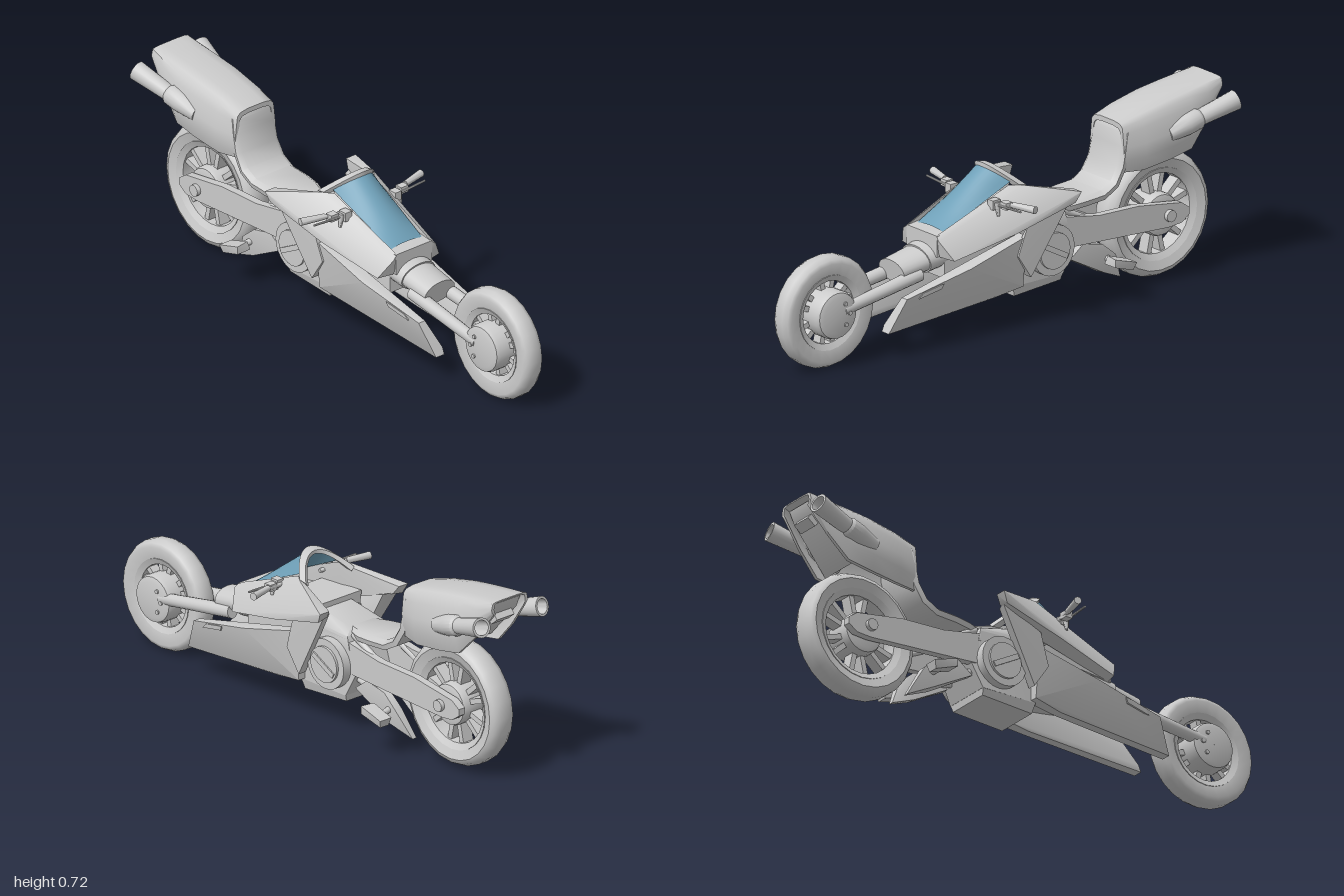
import * as THREE from 'three';
import { toCreasedNormals } from 'three/addons/utils/BufferGeometryUtils.js';
import { ConvexGeometry } from 'three/addons/geometries/ConvexGeometry.js';

const V = (x, y, z) => new THREE.Vector3(x, y, z);
const grey = new THREE.MeshStandardMaterial({ color: 0xcccccc });
const glass = new THREE.MeshStandardMaterial({ color: 0x6fa0b8, side: THREE.DoubleSide });

// Closed solid: faces turned outward, sharp edges kept
function solid(geo) {
  const src = geo.index ? geo.toNonIndexed() : geo;
  const p = Array.from(src.attributes.position.array);
  let vol = 0;
  for (let i = 0; i < p.length; i += 9) {
    const a = V(p[i], p[i + 1], p[i + 2]), b = V(p[i + 3], p[i + 4], p[i + 5]);
    vol += a.dot(b.cross(V(p[i + 6], p[i + 7], p[i + 8])));
  }
  if (vol < 0) for (let i = 0; i < p.length; i += 9)
    for (let k = 3; k < 6; k++) [p[i + k], p[i + k + 3]] = [p[i + k + 3], p[i + k]];
  const out = new THREE.BufferGeometry();
  out.setAttribute('position', new THREE.Float32BufferAttribute(p, 3));
  return toCreasedNormals(out, 0.7);
}

// Skin over equal-length loops of points; the caps join opposite halves of the loop
function loft(loops) {
  const n = loops[0].length, pos = loops.flat().flatMap(v => [v.x, v.y, v.z]), idx = [];
  for (let i = 0; i < loops.length - 1; i++) for (let j = 0; j < n; j++) {
    const a = i * n + j, b = i * n + (j + 1) % n;
    idx.push(a, b, a + n, b, b + n, a + n);
  }
  const e = (loops.length - 1) * n;
  for (let j = 0; j < n / 2 - 1; j++) {
    const k = n - 1 - j;
    idx.push(j, k, j + 1, j + 1, k, k - 1, e + j, e + j + 1, e + k, e + j + 1, e + k - 1, e + k);
  }
  const g = new THREE.BufferGeometry();
  g.setAttribute('position', new THREE.Float32BufferAttribute(pos, 3));
  return g.setIndex(idx);
}

const hull = pts => new ConvexGeometry(pts.map(p => V(...p)));
// Points repeated on both sides of the centre line
const hullBoth = pts => hull([...pts, ...pts.map(([x, y, z]) => [-x, y, z])]);
const box = (w, h, d, x, y, z) => new THREE.BoxGeometry(w, h, d).translate(x, y, z);
const disc = (r, w, x, y, z, n = 24) => new THREE.CylinderGeometry(r, r, w, n).rotateZ(Math.PI / 2).translate(x, y, z);
const ring = (pts, n = 24) => new THREE.LatheGeometry([...pts, pts[0]].map(p => new THREE.Vector2(...p)), n).rotateZ(Math.PI / 2);

// Side outline of [z, y] points given thickness from x0 to x1
const plate = (pts, x0, x1) => new THREE.ExtrudeGeometry(new THREE.Shape(pts.map(p => new THREE.Vector2(...p))),
  { depth: x1 - x0, bevelEnabled: false }).rotateY(-Math.PI / 2).translate(x1, 0, 0);

// Moves a geometry standing on the y axis so it points from a to b
function aim(geo, a, b) {
  const d = V(...b).sub(V(...a)).normalize();
  return geo.applyQuaternion(new THREE.Quaternion().setFromUnitVectors(V(0, 1, 0), d)).translate(...a);
}
// Tapered round bar from a to b, optionally flattened
function rod(a, b, r0, r1 = r0, n = 14, flat = 1) {
  const len = V(...a).distanceTo(V(...b));
  return aim(new THREE.CylinderGeometry(r1, r0, len, n).translate(0, len / 2, 0).scale(1, 1, flat), a, b);
}

export function createModel() {
  const model = new THREE.Group();
  const add = (name, geo, parent = model) => {
    const m = new THREE.Mesh(solid(geo), grey);
    m.name = name;
    parent.add(m);
  };
  const pair = (name, geo) => {
    add(name + 'Left', geo);
    add(name + 'Right', geo.clone().scale(-1, 1, 1));
  };

  // Wheels: tyre, rim, hub and twin spokes
  function wheel(name, r, w, inner, hubR, hubW, y, z) {
    const g = new THREE.Group();
    g.name = name;
    g.position.set(0, y, z);
    add('tyre', ring([[inner, -w * 0.75], [r * 0.88, -w], [r * 0.95, -w * 0.85], [r, -w * 0.4],
      [r, w * 0.4], [r * 0.95, w * 0.85], [r * 0.88, w], [inner, w * 0.75]]), g);
    add('rim', ring([[inner - 0.018, -w * 0.6], [inner + 0.005, -w * 0.85], [inner + 0.005, w * 0.85], [inner - 0.018, w * 0.6]]), g);
    add('hub', ring([[0.001, -hubW], [hubR * 0.75, -hubW], [hubR * 0.94, -hubW * 0.93], [hubR, -hubW * 0.75],
      [hubR, hubW * 0.75], [hubR * 0.94, hubW * 0.93], [hubR * 0.75, hubW], [0.001, hubW]]), g);
    const len = inner - hubR * 0.8;
    for (let i = 0; i < 12; i++) {
      const a = (Math.floor(i / 2) + (i % 2 ? 0.2 : -0.2)) * Math.PI / 3;
      add('spoke', box(w * 0.9, len, 0.02, 0, hubR * 0.8 + len / 2, 0).rotateX(a), g);
    }
    model.add(g);
  }
  wheel('frontWheel', 0.208, 0.043, 0.135, 0.09, 0.084, 0.209, 0.793);
  wheel('rearWheel', 0.236, 0.053, 0.168, 0.08, 0.06, 0.25, -0.72);
  for (let i = 0; i < 3; i++) {
    const a = 2.2 + i * 0.9;
    pair('hubBolt', disc(0.008, 0.012, 0.084, 0.209 + 0.05 * Math.sin(a), 0.793 + 0.05 * Math.cos(a), 8));
  }

  // Front fork and round neck
  pair('frontFork', rod([0.066, 0.22, 0.76], [0.058, 0.275, 0.4], 0.022, 0.026));
  add('neck', rod([0, 0.29, 0.48], [0, 0.33, 0.25], 0.07, 0.08, 20, 0.62));
  add('neckCollar', rod([0, 0.31, 0.365], [0, 0.33, 0.25], 0.08, 0.084, 20, 0.66));
  add('frame', hullBoth([[0.078, 0.36, 0.3], [0.078, 0.24, 0.3], [0.1, 0.41, -0.1], [0.1, 0.19, -0.1]]));

  // Upper fairing, nose and dashboard
  pair('upperFairing', hull([[0.08, 0.41, 0.34], [0.1, 0.395, 0.345], [0.08, 0.33, 0.33], [0.146, 0.325, 0.31],
    [0.095, 0.535, 0.02], [0.125, 0.535, -0.02], [0.17, 0.49, -0.22], [0.215, 0.49, -0.22], [0.205, 0.45, -0.2],
    [0.187, 0.385, 0.05], [0.16, 0.46, -0.2], [0.11, 0.4, 0]]));
  add('nose', hullBoth([[0.085, 0.41, 0.34], [0.085, 0.33, 0.34], [0.08, 0.415, 0.29], [0.095, 0.43, 0.1], [0.1, 0.36, 0]]));
  add('dashboard', hullBoth([[0.1, 0.45, 0.1], [0.1, 0.4, 0.1], [0.12, 0.45, -0.08], [0.11, 0.38, -0.08]]));
  pair('fairingStay', hull([[0.18, 0.46, -0.2], [0.13, 0.46, -0.18], [0.16, 0.33, -0.075], [0.12, 0.33, -0.075],
    [0.15, 0.19, -0.04], [0.115, 0.19, -0.04], [0.152, 0.28, 0.02], [0.12, 0.28, 0.02], [0.16, 0.4, -0.02]]));

  // Lower side skirts
  pair('skirt', hull([[0.105, 0.1, 0.58], [0.066, 0.1, 0.58], [0.066, 0.125, 0.57], [0.135, 0.225, 0.52], [0.105, 0.225, 0.52],
    [0.156, 0.285, 0.24], [0.15, 0.35, -0.02], [0.105, 0.35, -0.02], [0.13, 0.155, -0.02], [0.08, 0.155, -0.02],
    [0.115, 0.135, 0.1], [0.08, 0.135, 0.1]]));
  pair('skirtVent', hull([[0.142, 0.235, 0.45], [0.139, 0.215, 0.47], [0.151, 0.255, 0.36], [0.147, 0.235, 0.37],
    [0.12, 0.235, 0.45], [0.12, 0.23, 0.37]]));

  // Windscreen and its hoop
  const screenPoint = (u, t) => V(u * (0.074 + 0.02 * t), 0.42 + 0.178 * t - (0.007 + 0.043 * t) * u * u,
    0.3 - 0.24 * t - 0.055 * t * u * u);
  const pane = new THREE.PlaneGeometry(2, 1, 14, 6), pp = pane.attributes.position;
  for (let i = 0; i < pp.count; i++) pp.setXYZ(i, ...screenPoint(pp.getX(i), pp.getY(i) + 0.5).toArray());
  pane.computeVertexNormals();
  const screen = new THREE.Mesh(pane, glass);
  screen.name = 'windscreen';
  model.add(screen);
  const hoopLoops = [];
  for (let i = 0; i <= 16; i++) {
    const p = screenPoint(-1.2 + 0.15 * i, 1);
    hoopLoops.push([[0.008, 0.01, 1.05], [-0.025, 0.004, 1.05], [-0.025, -0.01, 0.93], [0.008, -0.006, 0.93]]
      .map(([dz, dy, s]) => V(p.x * s, p.y + dy, p.z + dz)));
  }
  add('windscreenHoop', loft(hoopLoops));

  // Handlebars
  pair('handlebar', rod([0.075, 0.485, 0.09], [0.2, 0.497, 0.075], 0.008));
  pair('grip', rod([0.19, 0.497, 0.076], [0.285, 0.498, 0.052], 0.011, 0.014));
  pair('barClamp', box(0.03, 0.035, 0.035, 0.118, 0.49, 0.105));
  pair('switchBox', box(0.034, 0.026, 0.03, 0.165, 0.493, 0.088));
  pair('lever', rod([0.14, 0.49, 0.105], [0.262, 0.495, 0.1], 0.005, 0.004, 8));
  pair('reservoir', rod([0.143, 0.45, 0.105], [0.135, 0.5, 0.105], 0.005, 0.012, 10));

  // Engine and tank
  add('engineBlock', hullBoth([[0.1, 0.38, 0], [0.1, 0.15, 0], [0.1, 0.37, -0.24], [0.1, 0.15, -0.23], [0.09, 0.25, -0.28]]));
  add('sump', hullBoth([[0.1, 0.15, 0], [0.09, 0.11, -0.01], [0.1, 0.155, -0.23], [0.09, 0.125, -0.225]]));
  pair('engineCover', disc(0.095, 0.035, 0.115, 0.26, -0.16));
  pair('engineCap', disc(0.068, 0.02, 0.132, 0.26, -0.16));
  pair('engineSlot', box(0.012, 0.02, 0.12, 0, 0, 0).rotateX(-0.5).translate(0.141, 0.26, -0.16));
  add('tank', hullBoth([[0.1, 0.38, -0.24], [0.1, 0.39, -0.05], [0.065, 0.4, -0.22], [0.07, 0.43, -0.08], [0.1, 0.33, -0.25], [0.1, 0.33, 0]]));
  pair('seatStay', rod([0.07, 0.38, -0.24], [0.075, 0.27, -0.47], 0.012));
  pair('rearStay', rod([0.06, 0.22, -0.24], [0.06, 0.17, -0.42], 0.014));

  // Swing arm with axle
  pair('swingArm', plate([[-0.23, 0.36], [-0.25, 0.24], [-0.72, 0.215], [-0.78, 0.22], [-0.815, 0.245],
    [-0.815, 0.27], [-0.78, 0.295], [-0.58, 0.325], [-0.4, 0.33]], 0.068, 0.098));
  pair('axleNut', disc(0.022, 0.02, 0.104, 0.26, -0.72, 12));
  add('axle', disc(0.018, 0.18, 0, 0.26, -0.72, 12));

  // Foot brackets leaning inward at the bottom, and pegs
  pair('footBracket', hull([[0.09, 0.19, -0.27], [0.06, 0.19, -0.27], [0.09, 0.235, -0.33], [0.06, 0.235, -0.33],
    [0.09, 0.215, -0.42], [0.06, 0.215, -0.42], [0.092, 0.165, -0.48], [0.06, 0.165, -0.48],
    [0.055, 0.06, -0.53], [0.035, 0.06, -0.53], [0.085, 0.105, -0.43], [0.04, 0.1, -0.43]]));
  pair('footArm', rod([0.075, 0.16, -0.44], [0.14, 0.15, -0.45], 0.012));
  pair('footPeg', hull([[0.125, 0.155, -0.4], [0.185, 0.185, -0.4], [0.185, 0.155, -0.4], [0.13, 0.185, -0.41],
    [0.135, 0.125, -0.49], [0.175, 0.125, -0.49], [0.185, 0.155, -0.5], [0.13, 0.155, -0.5]]));

  // Seat sweeping up into a backrest: z, y, half width
  const seat = [[-0.19, 0.4, 0.055], [-0.28, 0.405, 0.092], [-0.34, 0.41, 0.1], [-0.42, 0.415, 0.1], [-0.465, 0.44, 0.1],
    [-0.495, 0.49, 0.098], [-0.51, 0.56, 0.097], [-0.52, 0.61, 0.094], [-0.535, 0.638, 0.085], [-0.56, 0.65, 0.078]];
  add('seat', loft(seat.map(([z, y, w], i) => {
    const a = seat[Math.max(i - 1, 0)], b = seat[Math.min(i + 1, seat.length - 1)];
    const l = Math.hypot(b[0] - a[0], b[1] - a[1]), nz = (b[1] - a[1]) / l, ny = -(b[0] - a[0]) / l;
    return [[-1, -0.014], [-0.8, 0], [0.8, 0], [1, -0.014], [0.94, -0.034], [-0.94, -0.034]]
      .map(([x, d]) => V(x * w, y + ny * d, z + nz * d));
  })));

  // Hollow tail shell: z, bottom, top, half widths at bottom, middle and top
  const tail = [[-0.515, 0.46, 0.645, 0.08, 0.094, 0.085], [-0.6, 0.457, 0.668, 0.1, 0.118, 0.095], [-0.72, 0.472, 0.692, 0.105, 0.125, 0.1],
    [-0.82, 0.49, 0.706, 0.104, 0.122, 0.098], [-0.9, 0.575, 0.715, 0.092, 0.108, 0.092], [-0.975, 0.675, 0.723, 0.078, 0.088, 0.082]];
  add('tail', loft(tail.map(([z, b, t, wb, wm, wt]) => {
    const h = t - b;
    const half = [[wb, b], [wm * 0.99, b + 0.25 * h], [wm, b + 0.5 * h], [wm * 0.4 + wt * 0.6, b + 0.76 * h],
      [wt, t - 0.1 * h], [wt * 0.85, t - 0.03 * h], [wt * 0.45, t]];
    const outer = [...half, ...half.map(([x, y]) => [-x, y]).reverse()];
    const inner = outer.map(([x, y]) => [x * 0.86, b + (y - b) * 0.9]).reverse();
    return [...outer, ...inner].map(([x, y]) => V(x, y, z));
  })));
  add('tailPanel', hullBoth([[0.07, 0.705, -0.955], [0.065, 0.66, -0.94], [0.095, 0.5, -0.78], [0.095, 0.53, -0.78], [0.07, 0.69, -0.9]]));
  add('tailLight', box(0.085, 0.045, 0.04, 0, 0, 0).rotateX(0.7).translate(0, 0.645, -0.925));

  // Hollow exhaust pipes with a thicker shroud at the base
  const pipe = [[0.001, 0], [0.032, 0], [0.04, 0.08], [0.038, 0.13], [0.03, 0.14], [0.033, 0.21], [0.037, 0.29],
    [0.028, 0.29], [0.028, 0.2], [0.001, 0.2]];
  pair('exhaust', aim(new THREE.LatheGeometry(pipe.map(p => new THREE.Vector2(...p)), 18), [0.1, 0.57, -0.712], [0.148, 0.65, -0.988]));
  return model;
}
